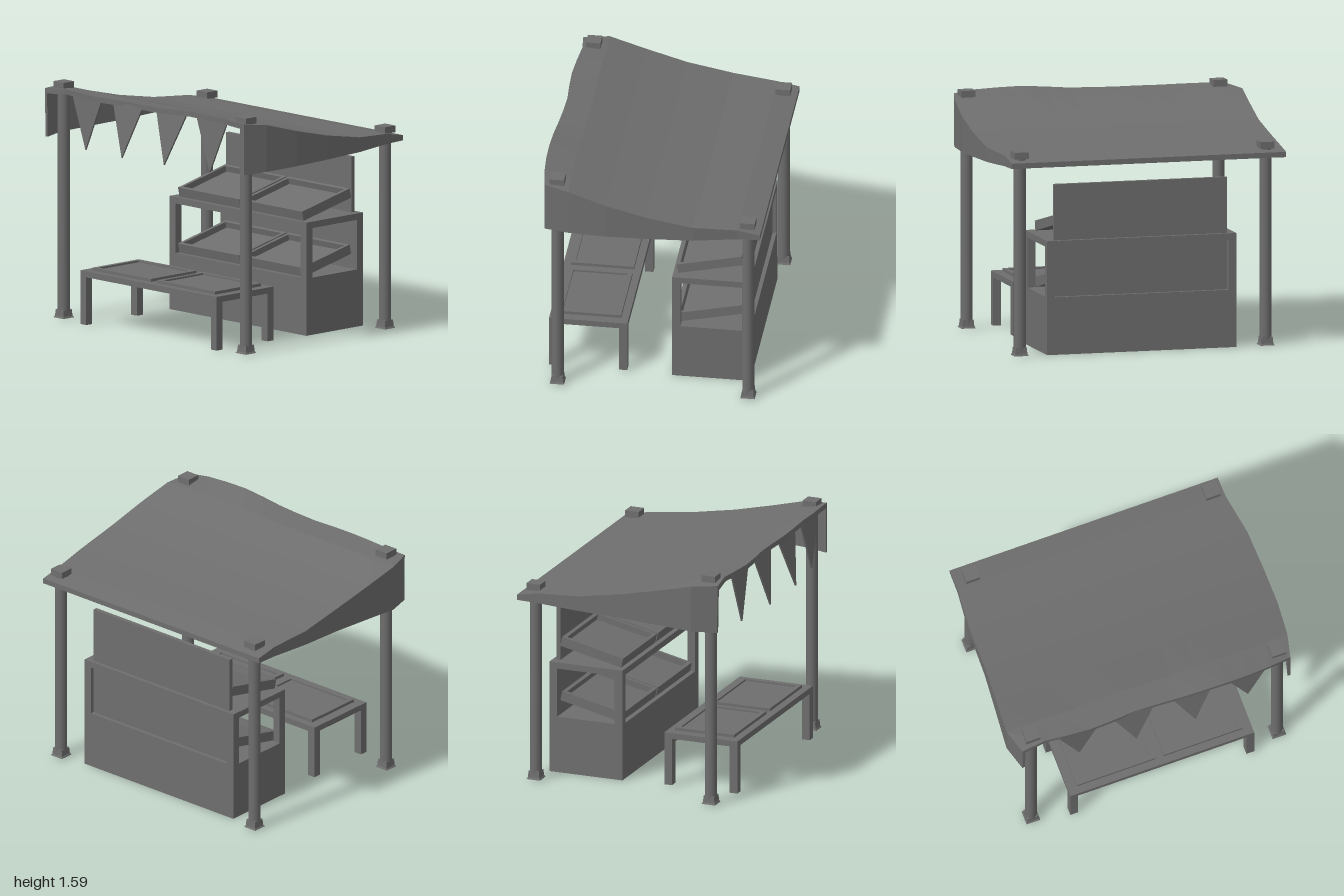
import * as THREE from 'three';

const material = new THREE.MeshStandardMaterial({ color: 0x6e6e6e, flatShading: true });
const smoothMaterial = new THREE.MeshStandardMaterial({ color: 0x6e6e6e });
const clothMaterial = new THREE.MeshStandardMaterial({ color: 0x6e6e6e, flatShading: true, side: THREE.DoubleSide });

function add(parent, name, geometry, mat = material) {
  const mesh = new THREE.Mesh(geometry, mat);
  mesh.name = name;
  parent.add(mesh);
  return mesh;
}

// Box given by its limits on each axis
function box(parent, name, x0, x1, y0, y1, z0, z1) {
  const mesh = add(parent, name, new THREE.BoxGeometry(x1 - x0, y1 - y0, z1 - z0));
  mesh.position.set((x0 + x1) / 2, (y0 + y1) / 2, (z0 + z1) / 2);
  return mesh;
}

function group(parent, name) {
  const g = new THREE.Group();
  g.name = name;
  parent.add(g);
  return g;
}

// Open tray centred on its own origin: floor and four rims
function tray(parent, name, w, h, l, rim, floor) {
  const g = group(parent, name);
  const a = w / 2, b = l / 2, c = h / 2;
  box(g, 'trayFloor', -a + rim, a - rim, -c, -c + floor, -b + rim, b - rim);
  for (const s of [-1, 1]) {
    const side = box(g, 'traySide', -rim / 2, rim / 2, -c, c, -b, b);
    side.position.x = s * (a - rim / 2);
    const end = box(g, 'trayEnd', -a + rim, a - rim, -c, c, -rim / 2, rim / 2);
    end.position.z = s * (b - rim / 2);
  }
  return g;
}

// Round post with a square collar, a flared foot plate and a square cap
function post(parent, x, z, top) {
  const g = group(parent, 'post');
  g.position.set(x, 0, z);
  const shaft = add(g, 'postShaft', new THREE.CylinderGeometry(0.04, 0.04, top - 0.05, 16), smoothMaterial);
  shaft.position.y = (top - 0.05) / 2 + 0.02;
  box(g, 'postCap', -0.048, 0.048, top - 0.045, top, -0.048, 0.048);
  const foot = [[0.01, 0.022, 0.048, 0.042], [0.022, 0.065, 0.041, 0.037]];
  for (const [y0, y1, r0, r1] of foot) {
    const geo = new THREE.CylinderGeometry(r1 * Math.SQRT2, r0 * Math.SQRT2, y1 - y0, 4);
    geo.rotateY(Math.PI / 4);
    add(g, 'postFoot', geo).position.y = (y0 + y1) / 2;
  }
}

// Sagging cloth roof with side skirts, lofted through closed cross-sections
function canopyGeometry() {
  // x, top height, z at the back edge, z at the front edge
  const stations = [
    [-0.685, 1.57, -0.95, 0.93], [-0.52, 1.543, -1.0, 0.97], [-0.27, 1.47, -0.98, 0.995],
    [0, 1.405, -0.96, 1.0], [0.31, 1.35, -0.955, 0.995], [0.6, 1.328, -0.93, 0.95], [0.75, 1.3, -0.93, 0.95],
  ];
  const steps = 12, t = 0.02;
  const xWave = [-0.005, 0.01, -0.005, -0.015, -0.01, 0, -0.005, -0.015, -0.025, -0.03, -0.03, -0.02, 0];
  const yWave = [-0.025, -0.01, -0.012, -0.015, -0.013, -0.012, -0.01, -0.007, 0.005, 0.015, 0.012, 0.007, -0.01];
  const positions = [], index = [];
  const rings = stations.map(([x, y, zn, zp], s) => {
    const wave = s === 0 ? 1 : s === 1 ? 0.3 : 0;
    const hem = 1.22 + (x + 0.69) * 0.031;
    const outer = [[x, hem, zn]], inner = [[x, hem, zn + t]];
    for (let i = 0; i <= steps; i++) {
      const f = i / steps, px = x + wave * xWave[i], py = y + wave * yWave[i];
      outer.push([px, py, zn + (zp - zn) * f]);
      inner.push([px, Math.max(py - 0.035, hem), zn + t + (zp - zn - 2 * t) * f]);
    }
    outer.push([x, hem, zp]);
    inner.push([x, hem, zp - t]);
    return [...outer, ...inner.reverse()];
  });
  rings.forEach((r) => r.forEach((p) => positions.push(...p)));
  const n = rings[0].length, half = n / 2, last = (rings.length - 1) * n;
  for (let s = 0; s < rings.length - 1; s++) {
    for (let i = 0; i < n; i++) {
      const a = s * n + i, b = s * n + (i + 1) % n;
      index.push(a, b, a + n, b, b + n, a + n);
    }
  }
  // Close both ends between the outer and inner outlines
  for (let i = 0; i < half - 1; i++) {
    const o = i, p = i + 1, q = n - 1 - i, r = n - 2 - i;
    index.push(o, q, p, p, q, r);
    index.push(last + o, last + p, last + q, last + p, last + r, last + q);
  }
  const geo = new THREE.BufferGeometry();
  geo.setAttribute('position', new THREE.Float32BufferAttribute(positions, 3));
  geo.setIndex(index);
  geo.computeVertexNormals();
  return geo;
}

// Thin triangular flag hanging from the edge of the roof
function pennant(parent, z, tipX, tipY) {
  const rootX = -0.675, rootY = 1.54;
  const drop = Math.hypot(tipX - rootX, rootY - tipY);
  const shape = new THREE.Shape([
    new THREE.Vector2(-0.14, 0), new THREE.Vector2(0, -drop), new THREE.Vector2(0.14, 0),
  ]);
  const geo = new THREE.ExtrudeGeometry(shape, { depth: 0.012, bevelEnabled: false });
  geo.rotateY(-Math.PI / 2);
  const mesh = add(parent, 'pennant', geo);
  mesh.position.set(rootX, rootY, z);
  mesh.rotation.z = Math.atan2(tipX - rootX, rootY - tipY);
}

export function createModel() {
  const model = new THREE.Group();
  model.name = 'marketStall';

  // Posts
  for (const [x, z, top] of [[-0.605, -0.86, 1.592], [-0.605, 0.865, 1.592], [0.662, -0.815, 1.365], [0.662, 0.87, 1.365]]) {
    post(model, x, z, top);
  }

  // Roof
  const roof = group(model, 'roof');
  add(roof, 'canopy', canopyGeometry(), clothMaterial);
  for (const [z, x, y] of [[0.625, -0.695, 1.2], [0.24, -0.742, 1.2], [-0.17, -0.732, 1.19], [-0.555, -0.69, 1.185]]) {
    pennant(roof, z, x, y);
  }

  // Counter: solid base, open frame, back board
  const counter = group(model, 'counter');
  const x0 = 0.128, x1 = 0.648, z0 = -0.618, z1 = 0.678, w = 0.055;
  box(counter, 'counterBase', x0, x1, 0, 0.383, z0, z1);
  for (const x of [x0, x1 - w]) {
    for (const z of [z0, z1 - w]) box(counter, 'counterUpright', x, x + w, 0.383, 0.715, z, z + w);
  }
  box(counter, 'counterTop', x0, 0.593, 0.715, 0.758, z0, z1);
  box(counter, 'counterTopRail', 0.593, x1, 0.715, 0.758, z0, z1);
  box(counter, 'backBoard', 0.593, 0.622, 0.383, 1.13, z0 + w, z1 - w);

  // Two sloping rows of trays
  for (const y of [0.838, 0.462]) {
    for (const z of [-0.268, 0.328]) {
      const t = tray(counter, 'displayTray', 0.445, 0.065, 0.58, 0.025, 0.025);
      t.position.set(0.372, y, z);
      t.rotation.z = 0.222;
    }
  }

  // Low table
  const table = group(model, 'table');
  box(table, 'tableTop', -0.69, -0.17, 0.33, 0.37, -0.615, 0.675);
  for (const x of [-0.69, -0.225]) {
    for (const z of [-0.615, 0.62]) box(table, 'tableLeg', x, x + 0.055, 0.01, 0.33, z, z + 0.055);
  }
  for (const z of [-0.275, 0.335]) {
    tray(table, 'tableTray', 0.42, 0.02, 0.55, 0.03, 0.008).position.set(-0.43, 0.38, z);
  }
  return model;
}
